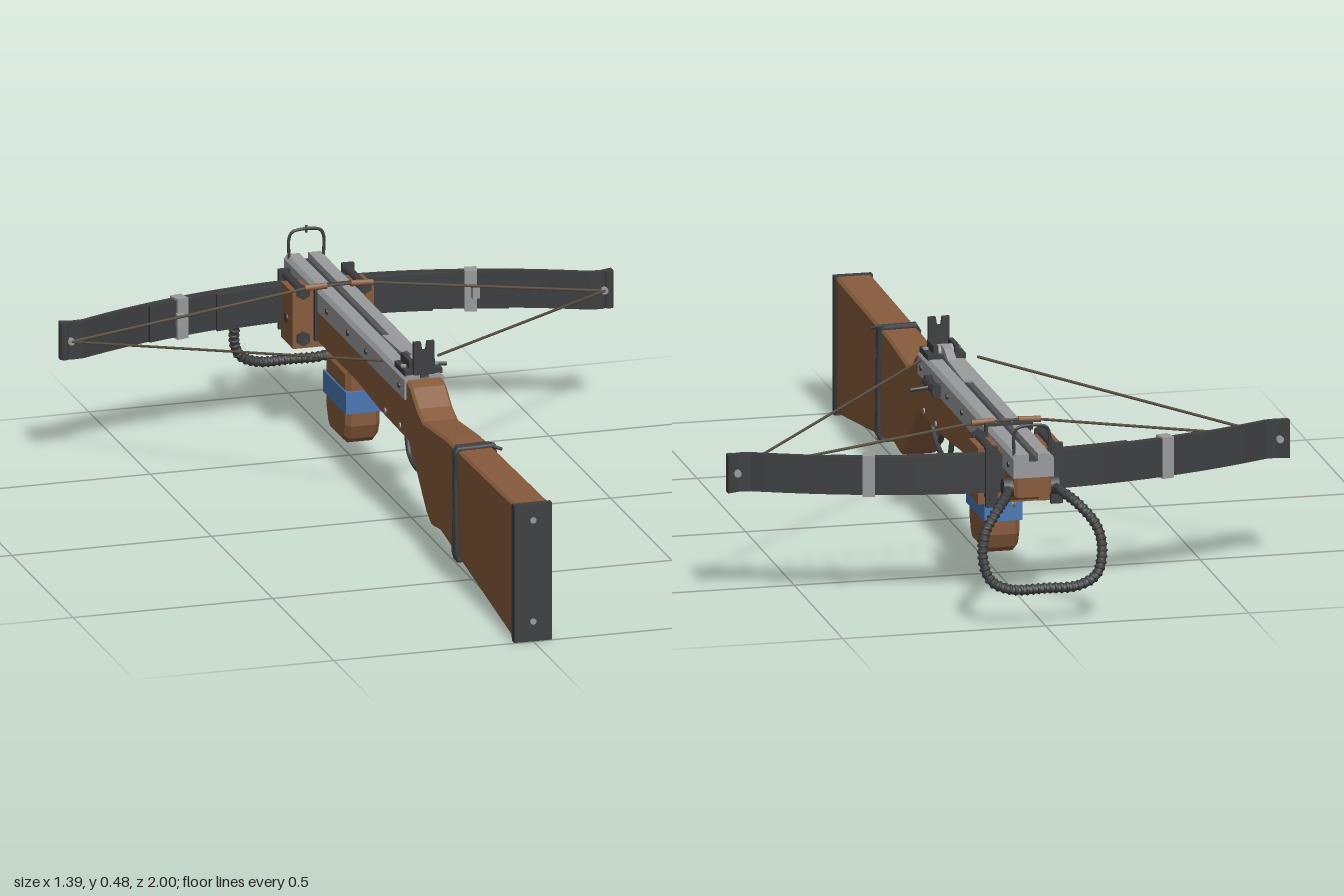
import * as THREE from 'three';

const mat = (color) => new THREE.MeshStandardMaterial({ color });
const V = (x, y, z) => new THREE.Vector3(x, y, z);

export function createModel() {
  const root = new THREE.Group();
  const wood = mat(0x875b3c), dark = mat(0x3d3e40), steel = mat(0x999a9c);
  const blue = mat(0x4a78b4), cord = mat(0x5a5040);

  const add = (name, geo, m) => {
    const mesh = new THREE.Mesh(geo, m);
    mesh.name = name;
    root.add(mesh);
    return mesh;
  };
  const box = (name, m, w, h, d, x, y, z) =>
    add(name, new THREE.BoxGeometry(w, h, d).translate(x, y, z), m);
  // Straight rod between two points
  const rod = (name, m, a, b, r, sides = 10) => {
    const mesh = add(name, new THREE.CylinderGeometry(r, r, a.distanceTo(b), sides), m);
    mesh.position.copy(a).add(b).multiplyScalar(0.5);
    mesh.quaternion.setFromUnitVectors(V(0, 1, 0), b.clone().sub(a).normalize());
    return mesh;
  };
  const tube = (name, m, pts, r, seg = 32, closed = false) =>
    add(name, new THREE.TubeGeometry(new THREE.CatmullRomCurve3(pts.map(p => V(...p)), closed, 'centripetal'), seg, r, 8, closed), m);
  // Side profile given as [z, y], given thickness across x
  const profile = (name, m, pts, w, bevel = 0) => {
    const shape = new THREE.Shape(pts.map(([z, y]) => new THREE.Vector2(-z, y)));
    const geo = new THREE.ExtrudeGeometry(shape, {
      depth: w - 2 * bevel, bevelEnabled: bevel > 0, bevelSize: bevel, bevelOffset: -bevel,
      bevelThickness: bevel, bevelSegments: 1,
    });
    return add(name, geo.translate(0, 0, -(w / 2 - bevel)).rotateY(Math.PI / 2), m);
  };

  // Stock with wrist, comb and fore-end
  profile('stock', wood, [
    [0.975, 0.345], [0.43, 0.337], [0.24, 0.32], [0.195, 0.338], [0.145, 0.375], [0.105, 0.385],
    [0.1, 0.345], [-0.87, 0.345], [-0.87, 0.285], [-0.79, 0.285], [-0.76, 0.25], [-0.3, 0.25],
    [-0.1, 0.236], [0.13, 0.232], [0.17, 0.195], [0.27, 0.1], [0.31, 0.08], [0.38, 0.09],
    [0.62, 0.056], [0.975, 0.006],
  ], 0.09, 0.006);

  // Butt plate and screws
  box('buttPlate', dark, 0.095, 0.345, 0.02, 0, 0.1725, 0.988);
  box('buttSpacer', dark, 0.09, 0.335, 0.008, 0, 0.1725, 0.973);
  for (const y of [0.05, 0.305]) rod('buttScrew', steel, V(0, y, 0.99), V(0, y, 1), 0.008);

  // Wire bound around the stock
  [[0.515, 0.535], [0.525, 0.51], [0.505, 0.525]].forEach(([zt, zb], i) => {
    const x = 0.049, t = 0.341, b = 0.064;
    const path = new THREE.CurvePath();
    const c = [V(-x, b, zb), V(x, b, zb), V(x, t, zt), V(-x, t, zt + 0.006)];
    c.forEach((p, k) => path.add(new THREE.LineCurve3(p, c[(k + 1) % 4])));
    add('stockBinding' + (i + 1), new THREE.TubeGeometry(path, 48, 0.006, 6, true), dark);
  });
  rod('bindingTail', dark, V(0.03, 0.343, 0.515), V(0.062, 0.335, 0.54), 0.004);

  // Sling rings
  for (const [y, z] of [[0.02, 0.73], [0.225, -0.67]])
    add('slingRing', new THREE.TorusGeometry(0.014, 0.004, 8, 18).rotateY(Math.PI / 2).translate(0, y, z), steel);

  // Grooved rail
  const rs = new THREE.Shape([[-0.05, 0.335], [0.05, 0.335], [0.05, 0.383], [0.042, 0.393], [0.011, 0.393],
    [0.011, 0.375], [-0.011, 0.375], [-0.011, 0.393], [-0.042, 0.393], [-0.05, 0.383]].map(p => new THREE.Vector2(...p)));
  add('rail', new THREE.ExtrudeGeometry(rs, { depth: 0.985, bevelEnabled: false }).translate(0, 0, -0.875), steel);
  box('railGroove', dark, 0.021, 0.004, 0.98, 0, 0.376, -0.384);
  for (const z of [0.07, -0.2, -0.35, -0.52, -0.83])
    rod('railScrew', dark, V(-0.054, 0.36, z), V(0.054, 0.36, z), 0.007);

  // Latch housing, nut, bolt clip and rear sight
  box('latchHousing', dark, 0.094, 0.014, 0.085, 0, 0.398, 0.06);
  for (const s of [-1, 1]) {
    box('latchCheek', dark, 0.012, 0.03, 0.07, s * 0.026, 0.41, 0.055);
    rod('latchBolt', steel, V(s * 0.04, 0.4, 0.07), V(s * 0.04, 0.41, 0.07), 0.007);
  }
  rod('stringNut', steel, V(-0.022, 0.405, 0.045), V(0.022, 0.405, 0.045), 0.018, 16);
  profile('boltClip', steel, [[0.04, 0.425], [0, 0.422], [-0.04, 0.404], [-0.2, 0.397], [-0.2, 0.392], [-0.03, 0.398], [0.04, 0.41]], 0.022);
  const sight = new THREE.Shape([[-0.026, 0.39], [0.026, 0.39], [0.026, 0.476], [0.008, 0.476], [0.005, 0.455],
    [-0.005, 0.455], [-0.008, 0.476], [-0.026, 0.476]].map(p => new THREE.Vector2(...p)));
  add('rearSight', new THREE.ExtrudeGeometry(sight, { depth: 0.01, bevelEnabled: false }).translate(0, 0, 0.098), dark);

  // Front sight hoop
  tube('frontSightHoop', dark, [[-0.043, 0.385, -0.855], [-0.043, 0.44, -0.855], [-0.034, 0.455, -0.855],
    [0.034, 0.455, -0.855], [0.043, 0.44, -0.855], [0.043, 0.385, -0.855]], 0.004);
  rod('frontSightPost', dark, V(0, 0.45, -0.855), V(0, 0.468, -0.855), 0.003);

  // Safety lever on the left side
  rod('leverBarrel', dark, V(0.06, 0.355, -0.03), V(0.06, 0.355, -0.13), 0.013);
  for (const z of [-0.04, -0.12]) box('leverLug', dark, 0.025, 0.03, 0.016, 0.056, 0.355, z);
  rod('leverHandle', dark, V(0.06, 0.355, -0.085), V(0.115, 0.35, -0.085), 0.005);

  // Trigger and guard
  tube('triggerGuard', dark, [[0, 0.21, 0.185], [0, 0.175, 0.155], [0, 0.147, 0.1], [0, 0.14, 0.04],
    [0, 0.155, -0.01], [0, 0.19, -0.03], [0, 0.225, -0.04], [0, 0.234, -0.085]], 0.007);
  tube('trigger', dark, [[0, 0.24, 0.055], [0, 0.205, 0.058], [0, 0.18, 0.075], [0, 0.172, 0.085]], 0.007, 16);
  for (const z of [0.06, -0.06]) rod('triggerPin', steel, V(-0.048, 0.255, z), V(0.048, 0.255, z), 0.007);

  // Foregrip with coloured band
  profile('foregrip', wood, [[-0.385, 0.252], [-0.56, 0.252], [-0.56, 0.11], [-0.545, 0.075], [-0.525, 0.06],
    [-0.42, 0.06], [-0.4, 0.075], [-0.385, 0.11]], 0.086, 0.012);
  box('foregripBand', blue, 0.094, 0.055, 0.186, 0, 0.172, -0.471);

  // Leaf-spring bow: long leaf in front, shorter ones stacked behind
  const bowZ = x => {
    const a = Math.abs(x);
    return a < 0.65 ? -0.766 + 0.37 * a * a : -0.61 - 0.35 * (a - 0.65);
  };
  [[0.692, 0.014, 0.094], [0.45, 0.011, 0.091], [0.27, 0.011, 0.091]].forEach(([half, t, h], i) => {
    const off = [0, 0.0145, 0.026][i], n = 48, front = [], back = [];
    for (let k = 0; k <= n; k++) {
      const x = -half + 2 * half * k / n, z = bowZ(x) + off;
      front.push(new THREE.Vector2(x, -z));
      back.unshift(new THREE.Vector2(x, -z - t));
    }
    const geo = new THREE.ExtrudeGeometry(new THREE.Shape([...front, ...back]), { depth: h, bevelEnabled: false });
    add('bowLeaf' + (i + 1), geo.rotateX(-Math.PI / 2).translate(0, 0.32 - h / 2, 0), dark);
  });

  for (const s of [-1, 1]) {
    // Leaf clamps, string loops
    const clamp = box('leafClamp', steel, 0.03, 0.102, 0.036, 0, 0, 0);
    clamp.position.set(s * 0.365, 0.32, bowZ(0.365) + 0.013);
    clamp.rotation.y = -s * Math.atan(0.74 * 0.365);
    const lug = box('clampLug', steel, 0.018, 0.03, 0.02, 0, 0, 0);
    lug.position.set(s * 0.37, 0.32, bowZ(0.365) + 0.037);
    rod('stringPin', steel, V(s * 0.668, 0.32, -0.625), V(s * 0.668, 0.32, -0.592), 0.009);
    rod('tipRoll', dark, V(s * 0.682, 0.274, -0.608), V(s * 0.682, 0.366, -0.608), 0.012);

    // Strings, at rest and drawn
    rod('restString', cord, V(s * 0.668, 0.32, -0.595), V(s * 0.08, 0.4, -0.59), 0.0035, 6);
    rod('restStringServing', wood, V(s * 0.085, 0.4, -0.59), V(s * 0.03, 0.402, -0.59), 0.008, 8);
    rod('drawnString', cord, V(s * 0.668, 0.32, -0.595), V(s * 0.07, 0.4, -0.005), 0.0035, 6);

    // Bow mounting blocks and clamp bolts
    box('bowBlock', wood, 0.056, 0.14, 0.095, s * 0.074, 0.306, -0.682);
    box('bowFrontPlate', dark, 0.03, 0.15, 0.012, s * 0.08, 0.316, -0.776);
    for (const y of [0.26, 0.377]) {
      rod('bowBolt', dark, V(s * 0.077, y, -0.785), V(s * 0.077, y, -0.622), 0.011);
      rod('bowBoltNut', dark, V(s * 0.077, y, -0.636), V(s * 0.077, y, -0.624), 0.018, 6);
    }
    rod('blockPin', dark, V(s * 0.09, 0.3, -0.68), V(s * 0.106, 0.3, -0.68), 0.012);
    box('railStrapSide', dark, 0.006, 0.14, 0.014, s * 0.053, 0.33, -0.607);
    rod('stirrupPivot', dark, V(s * 0.04, 0.305, -0.84), V(s * 0.068, 0.305, -0.84), 0.022, 14);
  }
  rod('restStringCentre', cord, V(-0.04, 0.402, -0.59), V(0.04, 0.402, -0.59), 0.0035, 6);
  box('railStrapTop', dark, 0.112, 0.006, 0.014, 0, 0.398, -0.607);
  box('bowSaddle', wood, 0.2, 0.03, 0.09, 0, 0.25, -0.678);

  // Foot stirrup with cord wrapping
  const half = [[0.058, 0.305, -0.845], [0.066, 0.3, -0.88], [0.1, 0.275, -0.925], [0.138, 0.225, -0.952],
    [0.147, 0.17, -0.967], [0.13, 0.115, -0.98], [0.085, 0.092, -0.985]];
  const pts = [...half, [0, 0.09, -0.986], ...half.map(([x, y, z]) => [-x, y, z]).reverse()];
  tube('stirrup', dark, pts, 0.011, 90);
  const curve = new THREE.CatmullRomCurve3(pts.map(p => V(...p)), false, 'centripetal');
  const ring = new THREE.TorusGeometry(0.0095, 0.0045, 6, 10);
  for (let i = 4; i <= 56; i++) {
    const wrap = add('stirrupWrap', ring, dark);
    wrap.position.copy(curve.getPointAt(i / 60));
    wrap.quaternion.setFromUnitVectors(V(0, 0, 1), curve.getTangentAt(i / 60));
  }

  return root;
}
